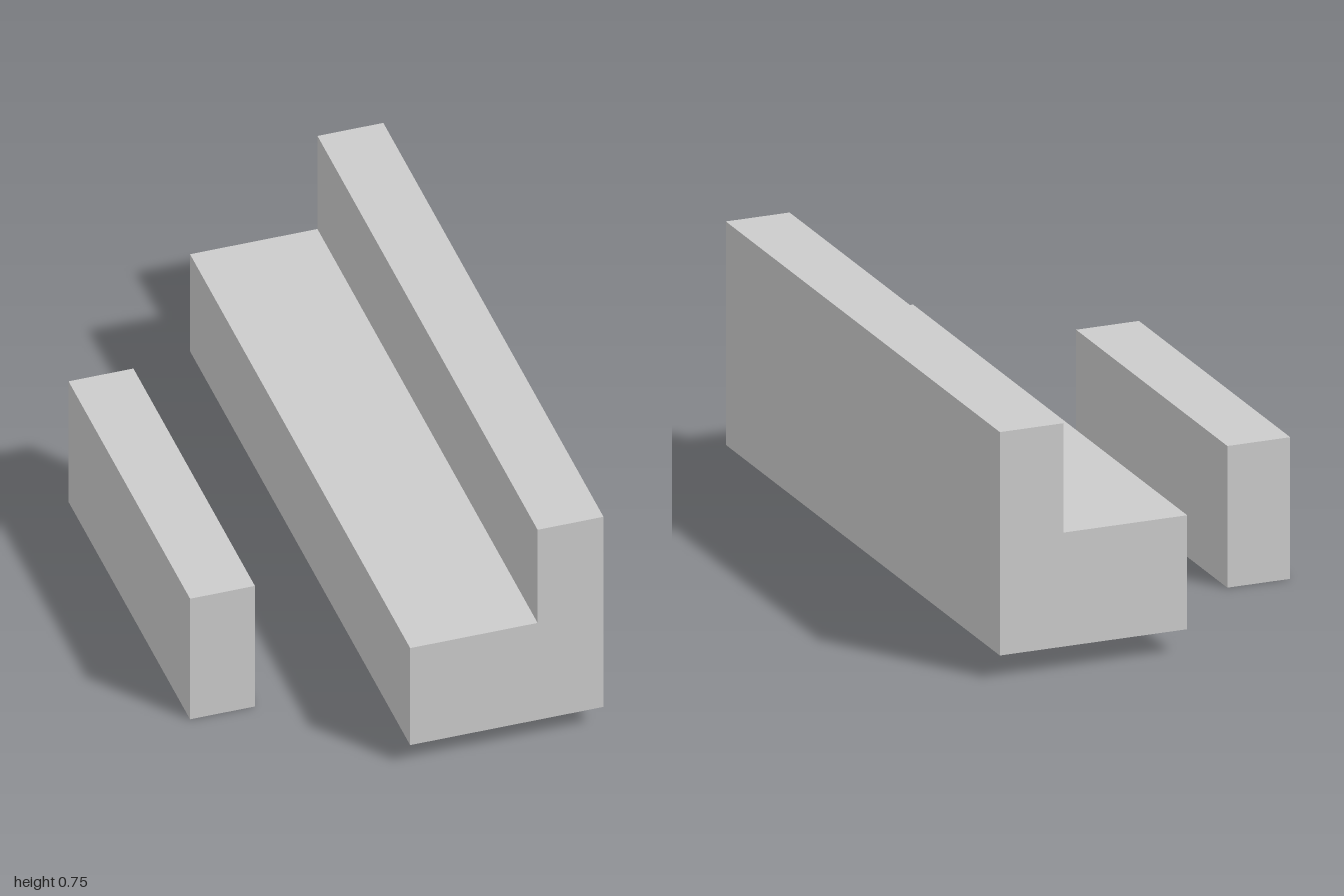
import * as THREE from 'three';

export function createModel() {
  const model = new THREE.Group();
  const material = new THREE.MeshStandardMaterial({ color: 0xcccccc, flatShading: true });

  // Bench: L-shaped section (seat and backrest) extruded along z
  const section = new THREE.Shape([
    [-0.028, 0.074], [0.556, 0.074], [0.556, 0.752],
    [0.357, 0.752], [0.357, 0.42], [-0.028, 0.42],
  ].map(([x, y]) => new THREE.Vector2(x, y)));
  const benchGeometry = new THREE.ExtrudeGeometry(section, { depth: 2, bevelEnabled: false });
  benchGeometry.translate(0, 0, -1);
  const bench = new THREE.Mesh(benchGeometry, material);
  bench.name = 'bench';
  model.add(bench);

  // Table: narrow solid block facing the seat
  const table = new THREE.Mesh(new THREE.BoxGeometry(0.196, 0.43, 1.104), material);
  table.name = 'table';
  table.position.set(-0.458, 0.215, 0.036);
  model.add(table);

  return model;
}
